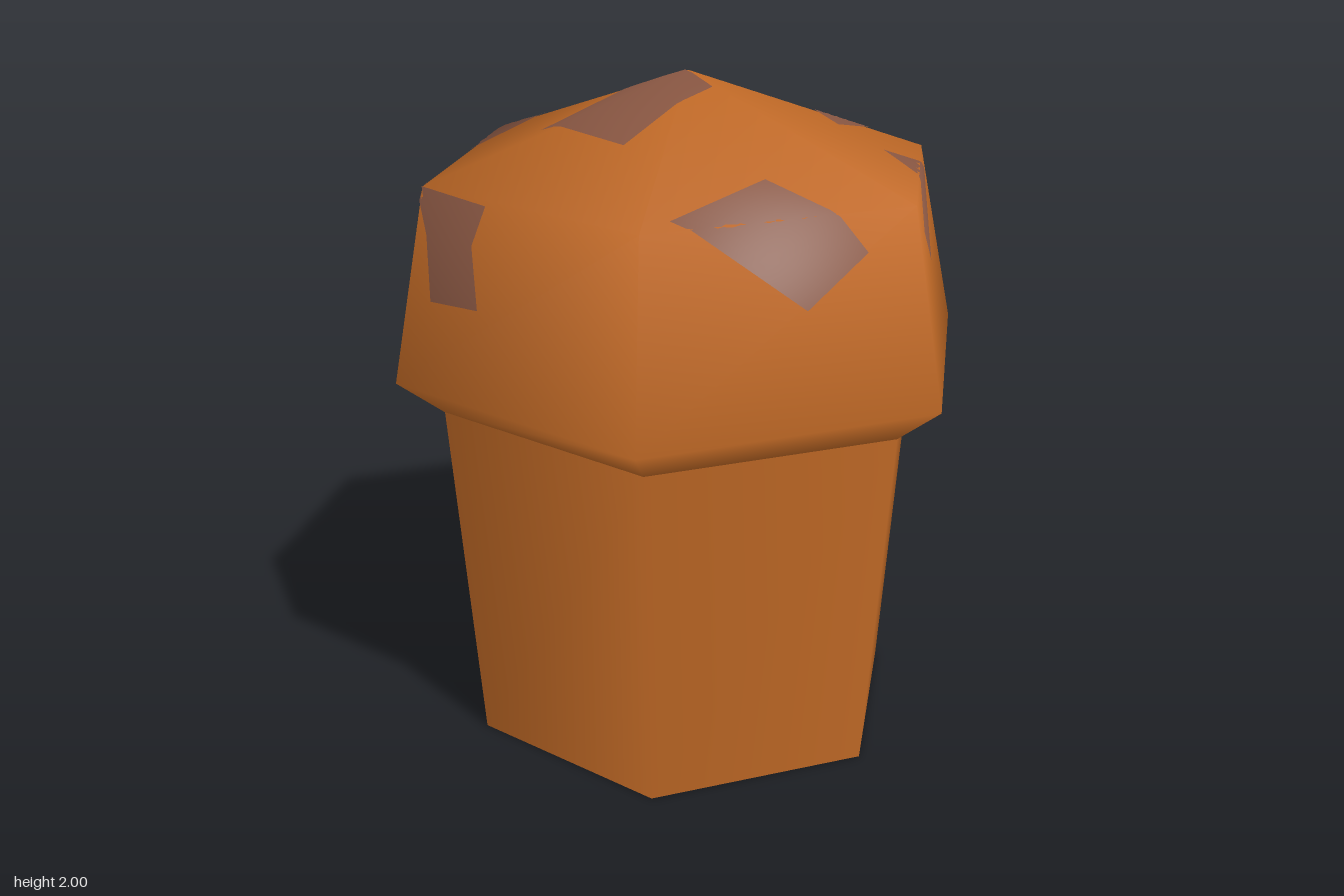
import * as THREE from 'three';

const cakeMat = new THREE.MeshStandardMaterial({ name: 'bakedOrange', color: 0xc26a26, side: THREE.DoubleSide });
const chipMat = new THREE.MeshStandardMaterial({ name: 'chipBrown', color: 0x885642 });

// Six-sided rings of the domed top, lower edge to shoulder, each starting at +x and turning towards +z
const rings = [
  [[0.755, 1.055, -0.025], [0.378, 1.055, 0.63], [-0.378, 1.055, 0.63],
    [-0.755, 1.055, -0.025], [-0.378, 1.055, -0.68], [0.378, 1.055, -0.68]],
  [[0.893, 1.165, -0.03], [0.45, 1.16, 0.747], [-0.45, 1.16, 0.747],
    [-0.893, 1.165, -0.03], [-0.44, 1.175, -0.747], [0.46, 1.175, -0.747]],
  [[0.785, 1.735, -0.03], [0.39, 1.735, 0.655], [-0.4, 1.73, 0.655],
    [-0.755, 1.72, -0.03], [-0.4, 1.72, -0.655], [0.39, 1.72, -0.66]],
];
const apex = [0, 2, -0.025];

function capGeometry() {
  const index = [];
  const top = rings.length * 6;
  for (let r = 0; r < rings.length; r++) {
    for (let i = 0; i < 6; i++) {
      const a = r * 6 + i, b = r * 6 + (i + 1) % 6;
      if (r < rings.length - 1) index.push(a, a + 6, b, b, a + 6, b + 6);
      else index.push(a, top, b);
    }
  }
  const g = new THREE.BufferGeometry();
  g.setAttribute('position', new THREE.Float32BufferAttribute([...rings.flat(), apex].flat(), 3));
  g.setIndex(index);
  g.computeVertexNormals();
  return g;
}

// Directions from which chips are laid on the dome, mapping flat (u, v) to space
const sides = {
  top: { axis: [0, 1, 0], at: (u, v) => [u, 0, v] },
  front: { axis: [0, 0, 1], at: (u, v) => [u, v, 0] },
  back: { axis: [0, 0, -1], at: (u, v) => [u, v, 0] },
  left: { axis: [1, 0, 0], at: (u, v) => [0, v, u] },
  right: { axis: [-1, 0, 0], at: (u, v) => [0, v, u] },
};

// Four corners of each chip: (x, z) for top, (x, y) for front and back, (z, y) for the sides
const chips = [
  ['top', [-0.22, -0.035], [0.1, -0.01], [0.07, 0.34], [-0.27, 0.305]],
  ['top', [-0.73, -0.07], [-0.57, -0.06], [-0.605, 0.26], [-0.735, 0.06]],
  ['top', [-0.4, -0.41], [-0.25, -0.4], [-0.24, -0.22], [-0.4, -0.23]],
  ['top', [0.13, -0.53], [0.3, -0.51], [0.3, -0.345], [0.12, -0.36]],
  ['left', [0.55, 1.75], [0.21, 1.8], [0.11, 1.625], [0.28, 1.49]],
  ['left', [-0.36, 1.77], [-0.19, 1.61], [-0.37, 1.47], [-0.59, 1.67]],
  ['front', [-0.42, 1.73], [-0.15, 1.715], [-0.19, 1.6], [-0.365, 1.6]],
  ['front', [-0.365, 1.6], [-0.19, 1.6], [-0.15, 1.43], [-0.33, 1.42]],
  ['back', [0.2, 1.57], [-0.06, 1.56], [0, 1.43], [0.18, 1.45]],
  ['right', [-0.64, 1.6], [-0.46, 1.71], [-0.44, 1.555], [-0.565, 1.46]],
  ['right', [-0.52, 1.51], [-0.44, 1.555], [-0.385, 1.44], [-0.42, 1.39]],
];

// A thin patch draped over the dome, following its smooth normals
function chipGeometry(cap, side, corners) {
  const N = 12;
  const axis = new THREE.Vector3(...side.axis);
  const ray = new THREE.Raycaster();
  const [c0, c1, c2, c3] = corners;
  const mix = THREE.MathUtils.lerp;
  const pos = [], nor = [], index = [];
  for (let j = 0; j <= N; j++) {
    for (let i = 0; i <= N; i++) {
      const s = i / N, t = j / N;
      const [u, v] = [0, 1].map((k) => mix(mix(c0[k], c1[k], s), mix(c3[k], c2[k], s), t));
      const origin = new THREE.Vector3(...side.at(u, v)).addScaledVector(axis, 3);
      ray.set(origin, axis.clone().negate());
      const hit = ray.intersectObject(cap)[0];
      pos.push(...hit.point.addScaledVector(hit.normal, 0.005).toArray());
      nor.push(...hit.normal.toArray());
    }
  }
  // Turn the faces so that they look outward
  const [p0, p1, p3] = [c0, c1, c3].map((c) => new THREE.Vector3(...side.at(...c)));
  const outward = p1.sub(p0).cross(p3.sub(p0)).dot(axis) > 0;
  for (let j = 0; j < N; j++) {
    for (let i = 0; i < N; i++) {
      const a = j * (N + 1) + i, b = a + 1, c = a + N + 1, d = c + 1;
      index.push(...(outward ? [a, b, d, a, d, c] : [a, d, b, a, c, d]));
    }
  }
  const g = new THREE.BufferGeometry();
  g.setAttribute('position', new THREE.Float32BufferAttribute(pos, 3));
  g.setAttribute('normal', new THREE.Float32BufferAttribute(nor, 3));
  g.setIndex(index);
  return g;
}

export function createModel() {
  const model = new THREE.Group();
  model.name = 'muffin';

  // Tapered open cup
  const cup = new THREE.Mesh(
    new THREE.CylinderGeometry(0.755, 0.665, 1.055, 6, 1, true, Math.PI / 2), cakeMat);
  cup.name = 'cup';
  cup.position.set(0, 0.5275, -0.025);
  model.add(cup);

  // Domed top
  const cap = new THREE.Mesh(capGeometry(), cakeMat);
  cap.name = 'domedTop';
  model.add(cap);

  // Chips on the dome
  const chipGroup = new THREE.Group();
  chipGroup.name = 'chips';
  for (const [side, ...corners] of chips) {
    const chip = new THREE.Mesh(chipGeometry(cap, sides[side], corners), chipMat);
    chip.name = 'chip';
    chipGroup.add(chip);
  }
  model.add(chipGroup);
  return model;
}
